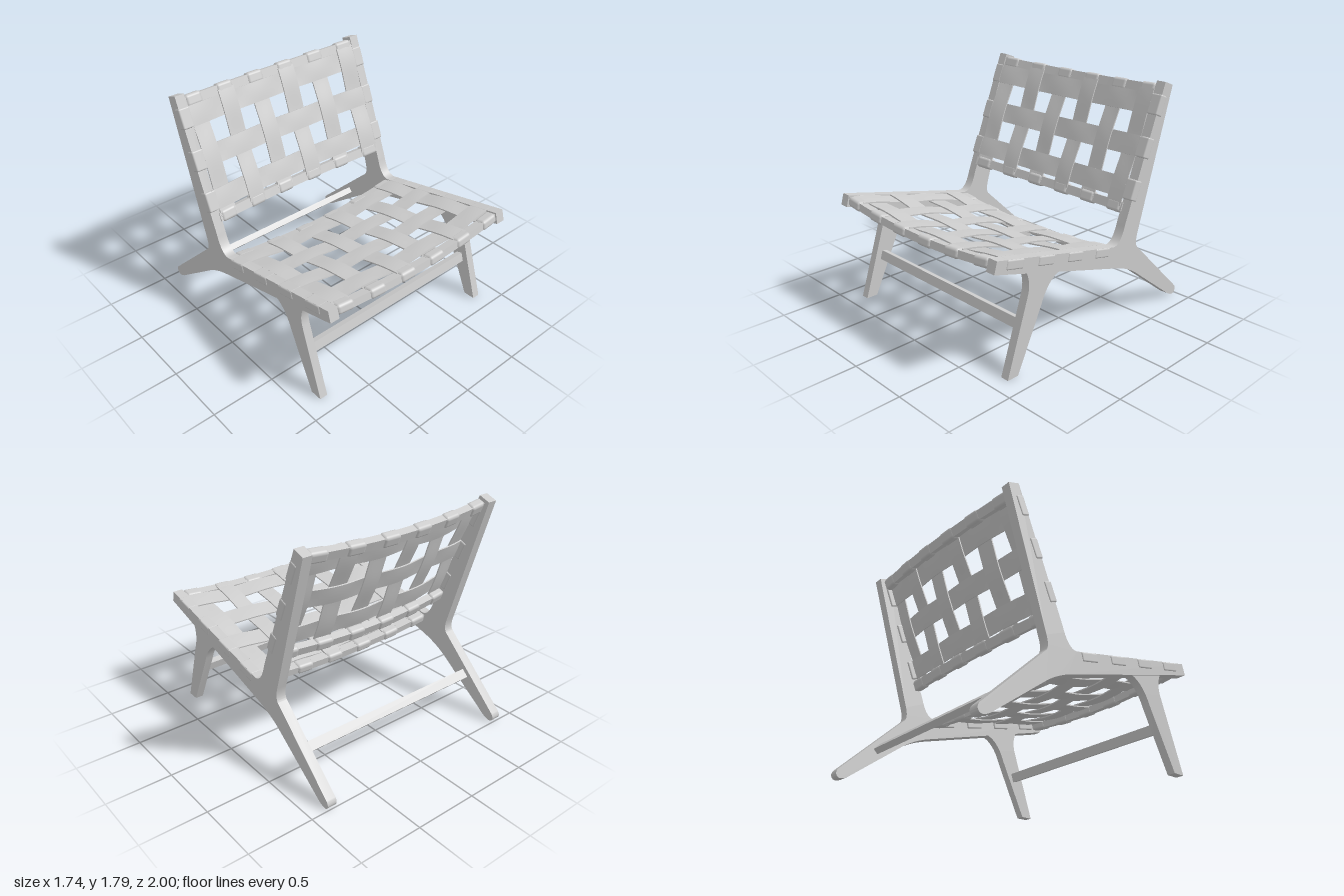
import * as THREE from 'three';
import { toCreasedNormals } from 'three/addons/utils/BufferGeometryUtils.js';
import { RoundedBoxGeometry } from 'three/addons/geometries/RoundedBoxGeometry.js';

const material = new THREE.MeshStandardMaterial({ color: 0xcccccc });

function addMesh(parent, name, geometry) {
  const mesh = new THREE.Mesh(geometry, material);
  mesh.name = name;
  parent.add(mesh);
  return mesh;
}

// Extrude a (z, y) side profile between two x values.
function sideSlab(shape, x0, x1) {
  const geo = new THREE.ExtrudeGeometry(shape, { depth: x1 - x0, bevelEnabled: false, curveSegments: 14 });
  geo.rotateY(-Math.PI / 2).translate(x1, 0, 0);
  return toCreasedNormals(geo, 0.5);
}

// Seat rail, back post and rear leg in one sweeping outline.
function frameShape() {
  const s = new THREE.Shape();
  s.moveTo(0.975, 0.907);
  s.lineTo(-0.17, 0.652);
  s.quadraticCurveTo(-0.25, 0.645, -0.295, 0.8);
  s.lineTo(-0.68, 1.788);
  s.lineTo(-0.77, 1.755);
  s.lineTo(-0.45, 0.7);
  s.quadraticCurveTo(-0.42, 0.61, -0.45, 0.575);
  s.lineTo(-0.985, 0.07);
  s.quadraticCurveTo(-1.015, 0.03, -0.98, 0.005);
  s.quadraticCurveTo(-0.955, -0.008, -0.9, 0.025);
  s.lineTo(-0.47, 0.345);
  s.quadraticCurveTo(-0.36, 0.43, -0.2, 0.475);
  s.lineTo(1.0, 0.82);
  s.closePath();
  return s;
}

function frontLegShape() {
  const s = new THREE.Shape();
  s.moveTo(0.875, 0);
  s.lineTo(0.69, 0.57);
  s.quadraticCurveTo(0.665, 0.66, 0.71, 0.745);
  s.lineTo(0.38, 0.65);
  s.quadraticCurveTo(0.5, 0.62, 0.565, 0.45);
  s.lineTo(0.78, 0);
  s.closePath();
  return s;
}

// Woven panel: local y is the outward normal, local z runs along the long straps.
function wovenPanel(name, { crossAt, bars, sag, strapWidth }) {
  const panel = new THREE.Group();
  panel.name = name;
  const xStep = 0.286, zStep = crossAt[1] - crossAt[0];
  const longAt = [-2.5, -1.5, -0.5, 0.5, 1.5, 2.5].map(k => k * xStep);
  const dip = x => -sag * Math.max(0, 1 - (x / 0.8) ** 2);
  const weave = (x, z) => 0.01 * Math.cos(Math.PI * (x - longAt[0]) / xStep) * Math.cos(Math.PI * (z - crossAt[0]) / zStep);

  // Follow the hollow of the panel, with straps rising and falling by the weave.
  function bend(geo, side, creased) {
    const p = geo.attributes.position;
    for (let i = 0; i < p.count; i++) {
      const x = p.getX(i), z = p.getZ(i);
      p.setY(i, p.getY(i) + dip(x) + side * weave(x, z));
    }
    if (creased) geo.computeVertexNormals();
    return geo;
  }

  // Straps across the width, each wrapped round both side rails.
  for (const z of crossAt) {
    const strap = new THREE.BoxGeometry(1.62, 0.01, strapWidth, 60, 1, 6).translate(0, -0.01, z);
    addMesh(panel, 'crossStrap', bend(strap, 1, true));
    for (const side of [-1, 1]) {
      const wrap = new RoundedBoxGeometry(0.092, 0.07, strapWidth, 3, 0.012);
      addMesh(panel, 'railWrap', wrap.translate(side * 0.826, -0.034, z));
    }
  }

  // Straps along the length, each wrapped round both end bars.
  const length = bars[1] - bars[0], middle = (bars[0] + bars[1]) / 2;
  for (const x of longAt) {
    const strap = new THREE.BoxGeometry(0.143, 0.01, length, 6, 1, 50).translate(x, -0.01, middle);
    addMesh(panel, 'longStrap', bend(strap, -1, true));
    for (const z of bars) {
      const wrap = new RoundedBoxGeometry(0.143, 0.076, 0.092, 4, 0.024);
      addMesh(panel, 'barWrap', bend(wrap.translate(x, -0.038, z), 0, false));
    }
  }

  // Curved end bars between the side frames.
  for (const z of bars) {
    const bar = new THREE.BoxGeometry(1.6, 0.056, 0.07, 24, 1, 1).translate(0, -0.038, z);
    addMesh(panel, 'endBar', bend(bar, 0, true));
  }
  return panel;
}

export function createModel() {
  const chair = new THREE.Group();
  chair.name = 'wovenLoungeChair';

  // Side frames and front legs
  for (const side of [-1, 1]) {
    const inner = 0.79;
    const span = width => (side > 0 ? [inner, inner + width] : [-inner - width, -inner]);
    addMesh(chair, 'sideFrame', sideSlab(frameShape(), ...span(0.076)));
    addMesh(chair, 'frontLeg', sideSlab(frontLegShape(), ...span(0.064)));
  }

  // Stretchers, tilted to lie along the legs
  const stretchers = [
    ['frontStretcher', 0.328, 0.69, -0.3],
    ['rearStretcher', 0.288, -0.665, 0.8],
  ];
  for (const [name, y, z, tilt] of stretchers) {
    const bar = addMesh(chair, name, new THREE.BoxGeometry(1.6, 0.073, 0.05));
    bar.position.set(0, y, z);
    bar.rotation.x = tilt;
  }

  // Seat
  const seat = wovenPanel('seat', {
    crossAt: [-0.056, 0.239, 0.534, 0.829],
    bars: [-0.17, 0.955], sag: 0.05, strapWidth: 0.155,
  });
  seat.position.set(0, 0.69, 0);
  seat.rotation.x = -0.219;
  chair.add(seat);

  // Backrest
  const backrest = wovenPanel('backrest', {
    crossAt: [-0.72, -0.4, -0.08],
    bars: [-0.83, 0.06], sag: 0.06, strapWidth: 0.155,
  });
  backrest.position.set(0, 0.965, -0.34);
  backrest.rotation.x = 1.182;
  chair.add(backrest);

  return chair;
}
